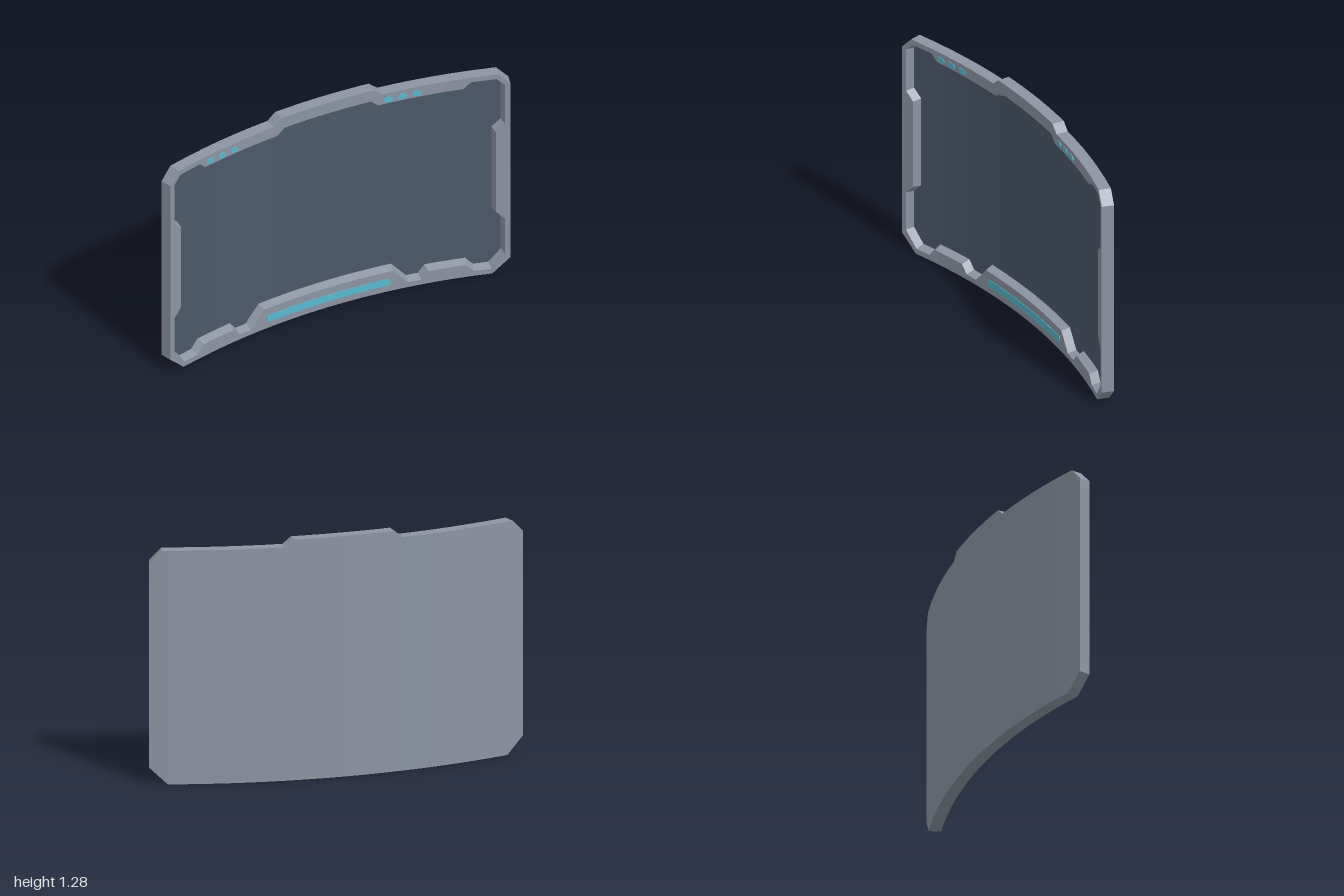
import * as THREE from 'three';

const RADIUS = 3.3, THICK = 0.065, BACK_Z = -0.11, FLOOR = 0.02;

// Right half of a loop, bottom to top, completed by mirroring (counter-clockwise)
const mirrorLoop = (half) => [...half, ...half.map(([x, y]) => [-x, y]).reverse()]
  .map(([x, y]) => new THREE.Vector2(x, y));

// Moves every edge of a counter-clockwise loop inwards by t
function inset(loop, t) {
  const n = loop.length;
  return loop.map((p, i) => {
    const a = p.clone().sub(loop[(i + n - 1) % n]).normalize();
    const b = loop[(i + 1) % n].clone().sub(p).normalize();
    const na = new THREE.Vector2(-a.y, a.x), nb = new THREE.Vector2(-b.y, b.x);
    const m = na.clone().add(nb);
    return p.clone().add(m.multiplyScalar(t / (1 + na.dot(nb))));
  });
}

const at = (p, d) => new THREE.Vector3(p.x, p.y, d);

// Flat face at depth d, facing the front or the back
function cap(loop, holes, d, front = true) {
  const all = [loop, ...holes].flat();
  return THREE.ShapeUtils.triangulateShape(loop, holes).map((f) => {
    const [a, b, c] = f.map((i) => all[i]);
    const ccw = (b.x - a.x) * (c.y - a.y) - (b.y - a.y) * (c.x - a.x) > 0;
    return (ccw === front ? [a, b, c] : [a, c, b]).map((p) => at(p, d));
  });
}

// Strip of quads from loop A at depth dA to loop B at depth dB
function wall(A, dA, B, dB) {
  return A.flatMap((p, i) => {
    const j = (i + 1) % A.length;
    const a = at(p, dA), b = at(A[j], dA), c = at(B[j], dB), d = at(B[i], dB);
    return [[a, b, c], [a, c, d]];
  });
}

// Part of a convex polygon on one side of x = c
function clip(poly, c, side) {
  const out = [];
  poly.forEach((p, i) => {
    const q = poly[(i + 1) % poly.length];
    const dp = (p.x - c) * side, dq = (q.x - c) * side;
    if (dp >= 0) out.push(p);
    if (dp * dq < 0) out.push(p.clone().lerp(q, dp / (dp - dq)));
  });
  return out;
}

// Cuts faces into vertical strips, then curves them around the y axis
function bend(tris) {
  const pos = [], nor = [];
  for (const tri of tris) {
    const n = new THREE.Triangle(...tri).getNormal(new THREE.Vector3());
    const lo = Math.min(...tri.map((p) => p.x)), hi = Math.max(...tri.map((p) => p.x));
    for (let k = Math.floor(lo * 10); k <= Math.floor(hi * 10); k++) {
      const poly = clip(clip(tri, k / 10, 1), (k + 1) / 10, -1);
      for (let i = 1; i < poly.length - 1; i++) {
        for (const p of [poly[0], poly[i], poly[i + 1]]) {
          const s = p.x / (RADIUS - THICK), c = Math.sqrt(1 - s * s), r = RADIUS - p.z;
          pos.push(r * s, p.y, BACK_Z + RADIUS - r * c);
          nor.push(n.x * c - n.z * s, n.y, n.x * s + n.z * c);
        }
      }
    }
  }
  const g = new THREE.BufferGeometry();
  g.setAttribute('position', new THREE.Float32BufferAttribute(pos, 3));
  g.setAttribute('normal', new THREE.Float32BufferAttribute(nor, 3));
  return g;
}

export function createModel() {
  const model = new THREE.Group();
  const material = (name, color) => {
    const m = new THREE.MeshStandardMaterial({ color });
    m.name = name;
    return m;
  };
  const frameGrey = material('frame grey', 0x8c94a3);
  const screenBlue = material('screen slate blue', 0x4b586a);
  const glowCyan = material('light cyan', 0x57b8ce);
  const add = (name, tris, mat) => {
    const mesh = new THREE.Mesh(bend(tris), mat);
    mesh.name = name;
    model.add(mesh);
  };

  // Chamfered silhouette with a raised tab on top
  const outer = mirrorLoop([
    [0.89, 0], [0.98, 0.09], [0.98, 1.18], [0.92, 1.245], [0.31, 1.245], [0.265, 1.283],
  ]);
  // Notched screen opening
  const opening = mirrorLoop([
    [0.37, 0.122], [0.45, 0.03], [0.525, 0.03], [0.56, 0.075], [0.755, 0.075],
    [0.795, 0.03], [0.885, 0.03], [0.953, 0.115], [0.953, 0.335], [0.907, 0.385],
    [0.907, 0.885], [0.953, 0.93], [0.953, 1.175], [0.91, 1.217], [0.78, 1.217],
    [0.745, 1.182], [0.29, 1.182], [0.248, 1.217],
  ]);
  const floorLoop = inset(opening, 0.014);

  // Housing
  add('frameFront', cap(outer, [opening], THICK), frameGrey);
  add('frameRim', wall(outer, 0, outer, THICK), frameGrey);
  add('frameBack', cap(outer, [], 0, false), frameGrey);
  add('recessWall', wall(opening, THICK, floorLoop, FLOOR), frameGrey);
  add('screen', cap(floorLoop, [], FLOOR), screenBlue);

  // Thin lights on the front face
  const light = (name, loop) => add(name,
    [...cap(loop, [], THICK + 0.003), ...wall(loop, THICK - 0.003, loop, THICK + 0.003)], glowCyan);
  light('bottomLightBar', mirrorLoop([
    [0.345, 0.037], [0.357, 0.047], [0.357, 0.068], [0.345, 0.078],
  ]));
  const dash = [[-0.012, -0.016], [0.02, -0.016], [0.026, 0], [0.012, 0.016], [-0.02, 0.016], [-0.026, 0]];
  for (const start of [-0.713, 0.345]) {
    for (let i = 0; i < 3; i++) {
      light('statusLight', dash.map(([x, y]) => new THREE.Vector2(start + i * 0.077 + x, 1.206 + y)));
    }
  }
  return model;
}
